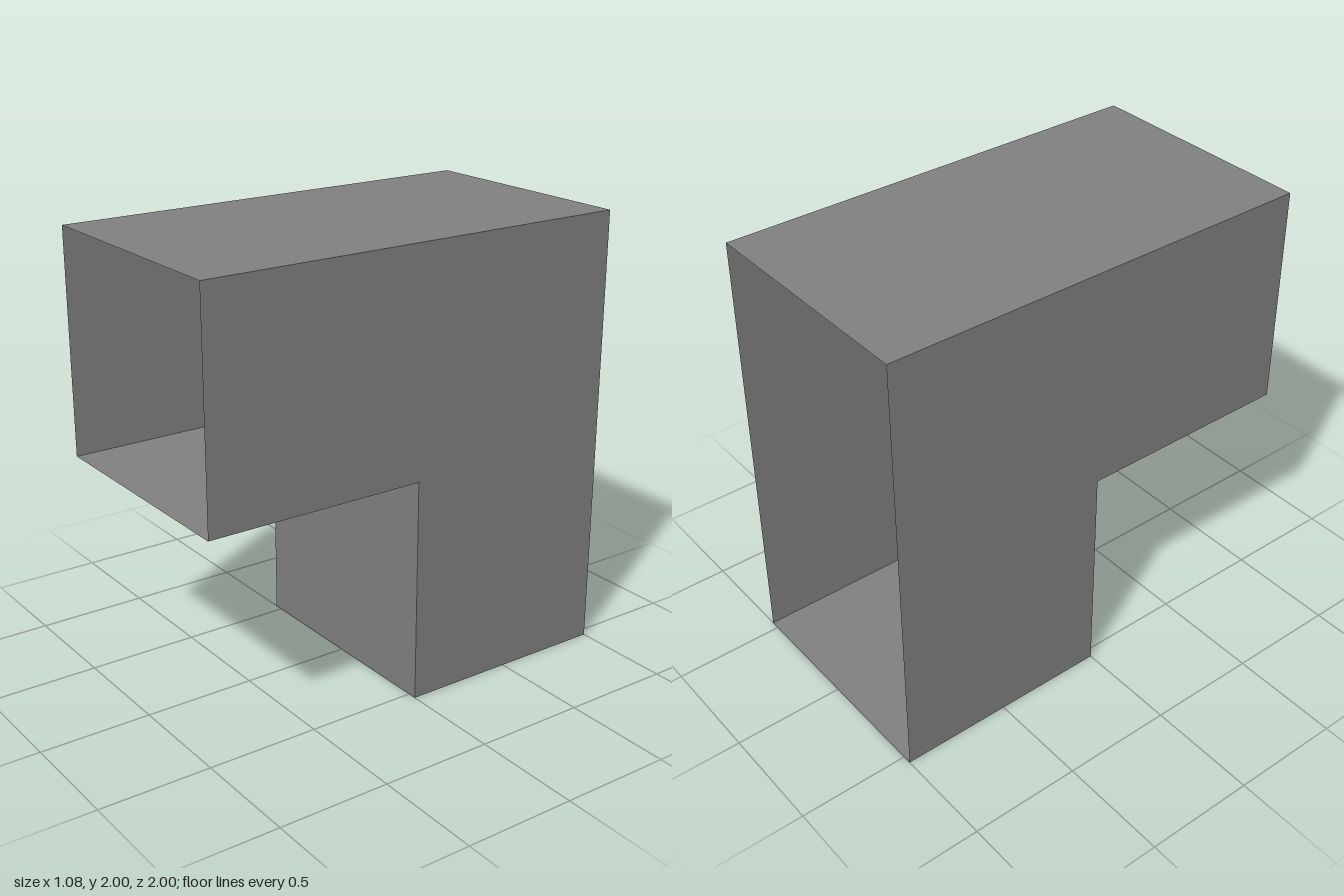
import * as THREE from 'three';

const HALF_WIDTH = 0.54;

export function createModel() {
  const model = new THREE.Group();
  model.name = 'elbowDuct';
  const grey = new THREE.MeshStandardMaterial({ color: 0x808080, side: THREE.DoubleSide });
  grey.name = 'grey';

  const add = (name, geometry) => {
    const mesh = new THREE.Mesh(geometry, grey);
    mesh.name = name;
    model.add(mesh);
    return mesh;
  };

  // L-shaped side walls, drawn as (z, y) and turned to face outwards
  const outline = [[-1, 0], [0, 0], [0, 1], [1, 1], [1, 2], [-1, 2]];
  for (const [name, side] of [['leftWall', 1], ['rightWall', -1]]) {
    const shape = new THREE.Shape(outline.map(([z, y]) => new THREE.Vector2(-side * z, y)));
    const wall = add(name, new THREE.ShapeGeometry(shape).rotateY(side * Math.PI / 2));
    wall.position.x = side * HALF_WIDTH;
  }

  // Panels across the width; the front of the arm and the back stay open
  const panel = (name, length, tilt, y, z) => {
    const geometry = new THREE.PlaneGeometry(HALF_WIDTH * 2, length).rotateX(tilt);
    add(name, geometry).position.set(0, y, z);
  };
  panel('roof', 2, -Math.PI / 2, 2, 0);
  panel('armFloor', 1, Math.PI / 2, 1, 0.5);
  panel('legFront', 1, 0, 0.5, 0);
  panel('legFloor', 1, Math.PI / 2, 0, -0.5);

  return model;
}
